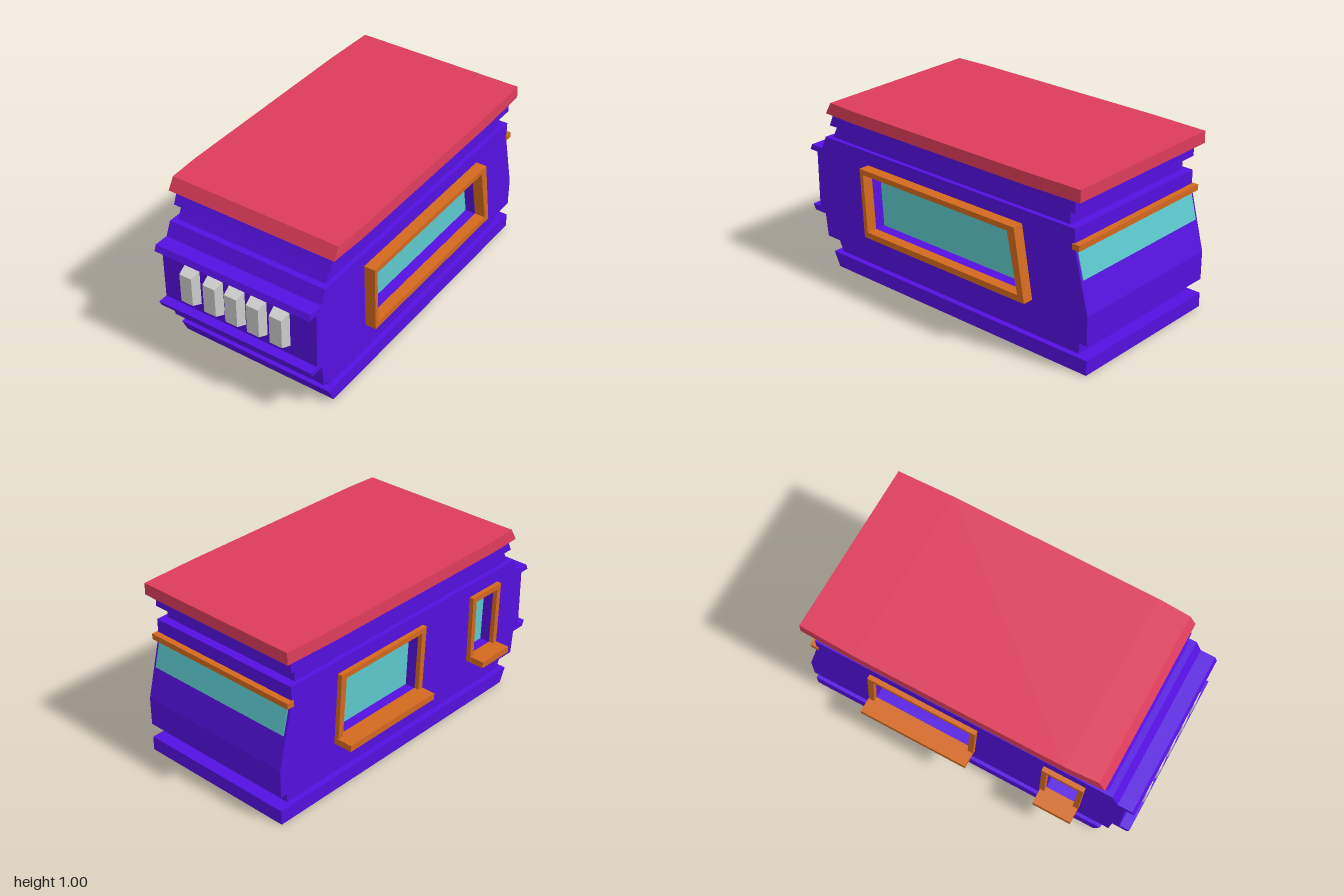
import * as THREE from 'three';

const mat = (color) => new THREE.MeshStandardMaterial({ color, flatShading: true, side: THREE.DoubleSide });
const purple = mat(0x5510e0), orange = mat(0xd2691e), red = mat(0xdc3c5a), teal = mat(0x5cc8cc), grey = mat(0xcccccc);

const CX = 0.025; // the body sits slightly off centre
const HALF = 0.485;

// Points are [z, y]; the shape is drawn with -z so that a quarter turn puts it along x.
const trace = (path, pts) => {
  pts.forEach(([z, y], i) => (i ? path.lineTo(-z, y) : path.moveTo(-z, y)));
  path.closePath();
  return path;
};

// Side profile swept from x0 to x1, with optional holes
function slab(name, pts, x0, x1, material, holes = []) {
  const shape = trace(new THREE.Shape(), pts);
  shape.holes = holes.map((h) => trace(new THREE.Path(), h));
  const geo = new THREE.ExtrudeGeometry(shape, { depth: x1 - x0, bevelEnabled: false });
  geo.rotateY(Math.PI / 2).translate(x0, 0, 0);
  const mesh = new THREE.Mesh(geo, material);
  mesh.name = name;
  return mesh;
}

// Window outlines: outer frame edge and opening
const windows = [
  {
    name: 'rightWindow', side: 1,
    outer: [[0.51, 0.3], [0.53, 0.7], [-0.575, 0.7], [-0.645, 0.3]],
    inner: [[0.485, 0.335], [0.505, 0.67], [-0.53, 0.67], [-0.6, 0.335]],
  },
  {
    name: 'leftRearWindow', side: -1, sill: [-0.61, 0.05],
    outer: [[0.05, 0.3], [0.075, 0.7], [-0.58, 0.7], [-0.61, 0.3]],
    inner: [[0.02, 0.33], [0.04, 0.67], [-0.545, 0.67], [-0.575, 0.33]],
  },
  {
    name: 'leftFrontWindow', side: -1, sill: [0.47, 0.7],
    outer: [[0.7, 0.3], [0.715, 0.7], [0.47, 0.7], [0.465, 0.3]],
    inner: [[0.67, 0.33], [0.685, 0.67], [0.5, 0.67], [0.495, 0.33]],
  },
];

function buildBody(group) {
  const x0 = CX - HALF, x1 = CX + HALF, recess = 0.065;
  // Stepped tiers below and above the main wall
  const tiers = [
    ['basePlinth', [[0.8, 0], [0.84, 0.083], [-1, 0.083], [-1, 0]], HALF],
    ['lowerGroove', [[0.8, 0.083], [0.84, 0.166], [-0.925, 0.166], [-0.925, 0.083]], 0.4525],
    ['upperGroove', [[0.83, 0.777], [0.79, 0.855], [-0.86, 0.855], [-0.86, 0.777]], 0.46],
    ['cornice', [[0.825, 0.855], [0.79, 0.935], [-0.91, 0.935], [-0.91, 0.855]], HALF],
  ];
  for (const [name, pts, half] of tiers) group.add(slab(name, pts, CX - half, CX + half, purple));

  // Main wall, with front lips and a sloping back
  const wall = [
    [0.885, 0.166], [0.9, 0.3], [0.985, 0.3], [1, 0.333], [0.942, 0.333], [0.942, 0.667], [1, 0.667],
    [0.985, 0.7], [0.9, 0.7], [0.865, 0.777], [-0.91, 0.777], [-0.91, 0.68], [-1, 0.33], [-1, 0.166],
  ];
  const holes = (side) => windows.filter((w) => w.side === side).map((w) => w.inner);
  group.add(slab('mainWallCore', wall, x0 + recess, x1 - recess, purple));
  group.add(slab('leftWallSkin', wall, x1 - recess, x1, purple, holes(1)));
  group.add(slab('rightWallSkin', wall, x0, x0 + recess, purple, holes(-1)));

  // Frames, glass and sills
  for (const w of windows) {
    const g = new THREE.Group();
    g.name = w.name;
    if (w.side > 0) {
      g.add(slab('windowFrame', w.outer, x1, 0.573, orange, [w.inner]));
      g.add(slab('windowGlass', w.inner, x1 - recess, x1 - recess + 0.004, teal));
    } else {
      g.add(slab('windowFrame', w.outer, -0.487, x0, orange, [w.inner]));
      g.add(slab('windowGlass', w.inner, x0 + recess - 0.004, x0 + recess, teal));
      const [a, b] = w.sill;
      g.add(slab('windowSill', [[a, 0.295], [b, 0.295], [b, 0.332], [a, 0.332]], -0.573, x0, orange));
    }
    group.add(g);
  }

  // Back window and the strip above it
  group.add(slab('backGlass', [[-0.95, 0.51], [-0.958, 0.51], [-0.917, 0.67], [-0.909, 0.67]], x0 + 0.015, x1 - 0.015, teal));
  group.add(slab('backStrip', [[-0.9, 0.668], [-0.945, 0.668], [-0.945, 0.7], [-0.9, 0.7]], x0 - 0.008, x1 + 0.008, orange));
}

// Roof slab: sloped front edge, slightly narrower at both ends
function buildRoof() {
  const geo = new THREE.BoxGeometry(2, 0.068, 3, 1, 1, 3);
  const p = geo.attributes.position;
  const zs = [-0.957, -0.62, 0.6, 0.825];
  for (let i = 0; i < p.count; i++) {
    const k = Math.round(p.getZ(i) + 1.5), top = p.getY(i) > 0;
    const half = (k === 0 || k === 3 ? 0.511 : 0.521) - (top ? 0.003 : 0);
    p.setXYZ(i, CX - 0.002 + Math.sign(p.getX(i)) * half, top ? 1 : 0.932, zs[k] - (k === 3 && top ? 0.037 : 0));
  }
  geo.computeVertexNormals();
  const roof = new THREE.Mesh(geo, red);
  roof.name = 'roof';
  return roof;
}

// Row of tapered blocks on the front
function buildBlocks() {
  const group = new THREE.Group();
  group.name = 'frontBlocks';
  const geo = new THREE.BoxGeometry(0.096, 0.218, 0.06);
  const p = geo.attributes.position;
  for (let i = 0; i < p.count; i++) {
    if (p.getZ(i) > 0) p.setXY(i, p.getX(i) * 0.79, p.getY(i) * 0.8);
  }
  geo.computeVertexNormals();
  for (const x of [-0.265, -0.115, 0.022, 0.159, 0.301]) {
    const block = new THREE.Mesh(geo, grey);
    block.name = 'frontBlock';
    block.position.set(x, 0.5, 0.97);
    group.add(block);
  }
  return group;
}

export function createModel() {
  const model = new THREE.Group();
  model.name = 'cabin';
  buildBody(model);
  model.add(buildRoof(), buildBlocks());
  return model;
}
